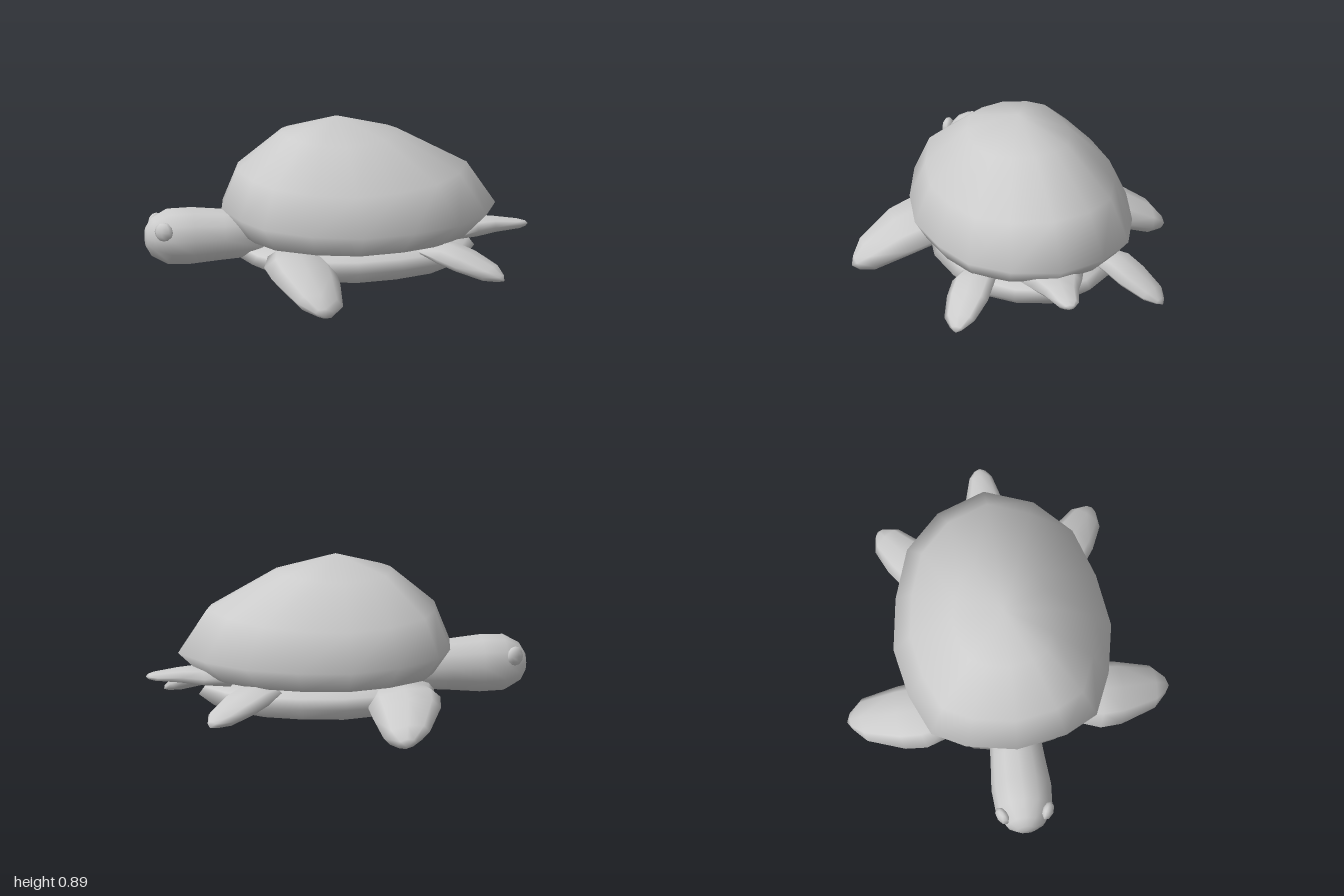
import * as THREE from 'three';

const material = new THREE.MeshStandardMaterial({ color: 0xcccccc, side: THREE.DoubleSide });

// Closed smooth skin over equal-length rings of points, with a centre point capping each end.
function loft(name, rings, startCap, endCap) {
  const n = rings[0].length, pos = [], index = [];
  for (const ring of rings) for (const p of ring) pos.push(...p);
  const centre = ring => [0, 1, 2].map(k => ring.reduce((s, p) => s + p[k], 0) / n);
  pos.push(...(startCap || centre(rings[0])), ...(endCap || centre(rings[rings.length - 1])));
  const first = rings.length * n, last = first + 1, top = (rings.length - 1) * n;
  for (let j = 0; j < n; j++) {
    const k = (j + 1) % n;
    for (let i = 0; i < rings.length - 1; i++) {
      const a = i * n + j, b = i * n + k;
      index.push(a, b, b + n, a, b + n, a + n);
    }
    index.push(first, k, j, last, top + j, top + k);
  }
  // Turn the faces outward if the signed volume is negative.
  const at = i => new THREE.Vector3().fromArray(pos, i * 3);
  let volume = 0;
  for (let i = 0; i < index.length; i += 3)
    volume += at(index[i]).dot(at(index[i + 1]).cross(at(index[i + 2])));
  if (volume < 0) index.reverse();
  const g = new THREE.BufferGeometry();
  g.setAttribute('position', new THREE.Float32BufferAttribute(pos, 3));
  g.setIndex(index);
  g.computeVertexNormals();
  const mesh = new THREE.Mesh(g, material);
  mesh.name = name;
  return mesh;
}

// Rings around given centres: [x, y, z, half width along u, half height along v].
function sections(list, u, v, sides = 8) {
  return list.map(([x, y, z, w, h]) => Array.from({ length: sides }, (_, j) => {
    const a = (j / sides) * Math.PI * 2, c = Math.cos(a) * w, s = Math.sin(a) * h;
    return [x + u[0] * c + v[0] * s, y + u[1] * c + v[1] * s, z + u[2] * c + v[2] * s];
  }));
}

// Shell plan on one side, front to back, mirrored into a ring of 16.
const half = [[-1, 0], [-0.92, 0.46], [-0.77, 0.76], [-0.41, 0.92], [0, 1],
  [0.35, 0.92], [0.67, 0.76], [0.89, 0.44], [1, 0]];
const plan = [...half, ...half.slice(1, 8).reverse().map(([x, z]) => [x, -z])];

function planRing([x0, xc, x1, z, yFront, yMid, yBack]) {
  return plan.map(([u, w]) => [
    xc + u * (u < 0 ? xc - x0 : x1 - xc),
    yMid + ((u < 0 ? yFront : yBack) - yMid) * u * u,
    w * z,
  ]);
}

export function createModel() {
  const model = new THREE.Group();
  model.name = 'turtle';

  // Domed shell, from the underside over the rim to the peak
  model.add(loft('shell', [
    [-0.38, 0.04, 0.56, 0.38, 0.25, 0.24, 0.25],
    [-0.51, 0.04, 0.70, 0.50, 0.29, 0.255, 0.28],
    [-0.60, 0.04, 0.83, 0.565, 0.42, 0.36, 0.40],
    [-0.52, 0.03, 0.68, 0.48, 0.62, 0.56, 0.62],
    [-0.29, 0.01, 0.32, 0.265, 0.81, 0.78, 0.81],
  ].map(planRing), null, [0, 0.89, 0]));

  // Belly plate with a flat underside
  model.add(loft('bellyPlate', [
    [-0.40, 0.04, 0.60, 0.36, 0.13, 0.085, 0.11],
    [-0.43, 0.04, 0.64, 0.39, 0.13, 0.09, 0.12],
    [-0.52, 0.04, 0.72, 0.46, 0.17, 0.15, 0.18],
    [-0.49, 0.04, 0.69, 0.43, 0.21, 0.205, 0.22],
    [-0.38, 0.04, 0.58, 0.36, 0.25, 0.25, 0.25],
  ].map(planRing), [0.04, 0.08, 0]));

  // Head and neck
  model.add(loft('head', sections([
    [-0.40, 0.29, 0, 0.125, 0.125],
    [-0.60, 0.285, 0, 0.14, 0.135],
    [-0.76, 0.285, 0, 0.155, 0.15],
    [-0.88, 0.285, 0, 0.147, 0.147],
    [-0.965, 0.285, 0, 0.10, 0.10],
    [-0.995, 0.285, 0, 0.05, 0.05],
  ], [0, 0, 1], [0, 1, 0], 12), null, [-1, 0.285, 0]));

  // Flat tapering tail
  model.add(loft('tail', sections([
    [0.58, 0.27, 0, 0.19, 0.045],
    [0.72, 0.28, 0, 0.14, 0.05],
    [0.82, 0.285, 0, 0.095, 0.04],
    [0.95, 0.283, 0, 0.058, 0.024],
    [0.985, 0.283, 0, 0.03, 0.014],
  ], [0, 0, 1], [0, 1, 0]), null, [1, 0.283, 0]));

  for (const s of [1, -1]) {
    const side = s > 0 ? 'Left' : 'Right';

    // Eye
    const eye = new THREE.Mesh(new THREE.SphereGeometry(0.05, 8, 6), material);
    eye.name = 'eye' + side;
    eye.scale.set(1, 1, 0.6);
    eye.position.set(-0.922, 0.335, s * 0.118);
    eye.rotation.y = -s * 0.5;
    model.add(eye);

    // Broad front flipper sloping down to the ground
    model.add(loft('frontFlipper' + side, sections([
      [-0.26, 0.21, s * 0.30, 0.15, 0.06],
      [-0.265, 0.18, s * 0.45, 0.19, 0.085],
      [-0.255, 0.145, s * 0.56, 0.18, 0.085],
      [-0.215, 0.065, s * 0.745, 0.122, 0.062],
      [-0.20, 0.03, s * 0.81, 0.05, 0.03],
    ], [1, -0.12, 0], [0, 0.9, s * 0.4]), null, [-0.20, 0.015, s * 0.835]));

    // Small rear flipper swept backwards
    model.add(loft('rearFlipper' + side, sections([
      [0.42, 0.25, s * 0.31, 0.09, 0.03],
      [0.51, 0.23, s * 0.385, 0.115, 0.05],
      [0.60, 0.195, s * 0.44, 0.115, 0.05],
      [0.715, 0.145, s * 0.515, 0.085, 0.038],
      [0.765, 0.12, s * 0.545, 0.035, 0.018],
    ], [-0.62, -0.1, s * 0.78], [0.3, 0.92, s * 0.24]), null, [0.783, 0.108, s * 0.555]));
  }
  return model;
}
